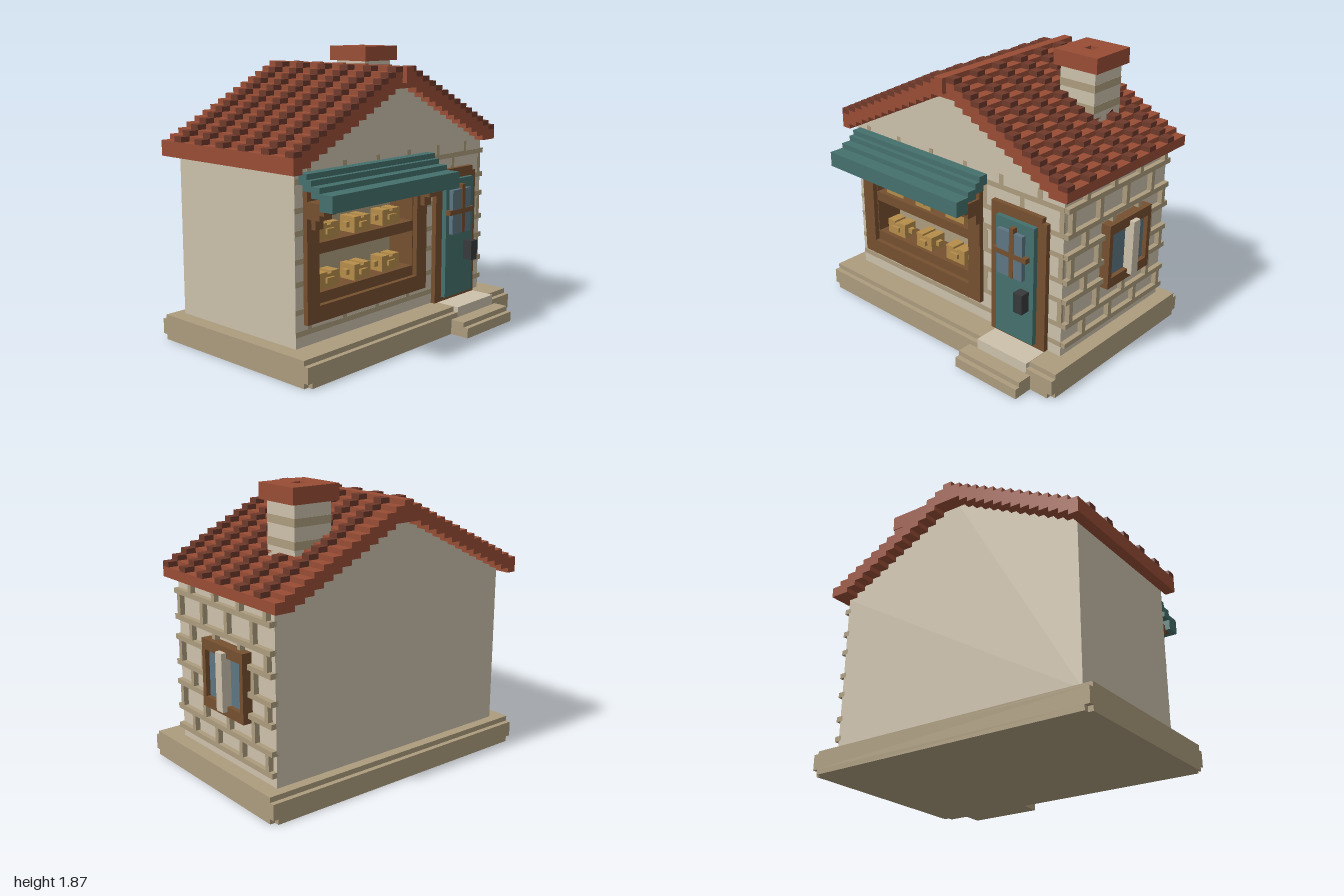
import * as THREE from 'three';
import { mergeGeometries } from 'three/addons/utils/BufferGeometryUtils.js';

const C = {
  plaster: 0xcdc1ab, mortar: 0xac9c7e, wood: 0x75502f, tile: 0x984d35, darkTile: 0x6f3a2b,
  teal: 0x44706d, glass: 0x5d7683, bread: 0xb58d4a, iron: 0x37393b,
};

// All sizes are in blocks of 1/30 unit
export function createModel() {
  const house = new THREE.Group();
  house.name = 'bakeryHouse';

  const add = (name, color, geometry) => {
    const mesh = new THREE.Mesh(geometry, new THREE.MeshStandardMaterial({ color }));
    mesh.name = name;
    house.add(mesh);
    return mesh;
  };
  // One part made of blocks, each given as [x0, x1, y0, y1, z0, z1]
  const blocks = (name, color, list) => add(name, color, mergeGeometries(list.map(([a, b, c, d, e, f]) =>
    new THREE.BoxGeometry(b - a, d - c, f - e).translate((a + b) / 2, (c + d) / 2, (e + f) / 2))));

  // Plinth and steps
  blocks('plinth', C.mortar, [
    [-30, 30, 0, 1, -21, 17], [-29, 29, 0, 1, -22, 18],
    [-30, 30, 1, 4, -22, 18], [-30, 30, 4, 5, -21, 17],
  ]);
  blocks('lowerStep', C.mortar, [[10, 25, 0, 2, 18, 22], [10, 25, 2, 3, 18, 21]]);
  blocks('doorStep', C.plaster, [[12, 24, 3, 5.05, 13, 18.05]]);

  // Walls with gables, the front layer open for the shop window
  const wall = (name, z0, z1, open) => {
    const shape = new THREE.Shape([[-27, 5], [27, 5], [27, 37], [0, 50.5], [-27, 37]]
      .map(([x, y]) => new THREE.Vector2(x, y)));
    if (open) {
      shape.holes.push(new THREE.Path([[-22, 12], [-22, 31], [5, 31], [5, 12]]
        .map(([x, y]) => new THREE.Vector2(x, y))));
    }
    const geometry = new THREE.ExtrudeGeometry(shape, { depth: z1 - z0, bevelEnabled: false });
    add(name, C.plaster, geometry.translate(0, 0, z0));
  };
  wall('walls', -19, 6, false);
  wall('frontWall', 6, 12, true);

  // Mortar: raised on the left wall, flush on the front
  const courses = [7, 11, 16, 20, 25, 29, 34];
  const sideMortar = [], frontMortar = [];
  courses.forEach((y, i) => {
    const top = i < 6 ? courses[i + 1] : 37;
    const even = i % 2 === 0;
    sideMortar.push([26.5, 28, y, y + 1, -19, 12]);
    for (let z = even ? -18 : -14; z < 12; z += 8) sideMortar.push([26.5, 28, y + 1, top, z, z + 1]);
    const spans = y > 9 && y < 32 ? [[-27, -25], [8, 11], [24, 27]] : [[-27, 27]];
    for (const [a, b] of spans) frontMortar.push([a, b, y, y + 1, 11.5, 12.05]);
    for (let x = even ? -24 : -19; x < 27; x += 9) {
      const inOpening = x > -23 && x < 5 && top > 12 && y < 30;
      if (!inOpening) frontMortar.push([x, x + 1, y + 1, top, 11.5, 12.05]);
    }
  });
  blocks('leftWallMortar', C.mortar, sideMortar);
  blocks('frontWallMortar', C.mortar, frontMortar);

  // Shop window
  blocks('shopWindowFrame', C.wood, [
    [-25, -22, 9, 33, 11.5, 13], [5, 8, 9, 33, 11.5, 13],
    [-22, 5, 9, 12, 11.5, 13], [-22, 5, 31, 33, 11.5, 13],
    [-22, -21.8, 12, 31, 6, 12], [4.8, 5, 12, 31, 6, 12],
  ]);
  blocks('shopWindowBack', C.mortar, [[-22, 5, 12, 31, 5.8, 6.2]]);
  blocks('shelves', C.wood, [[-22, 5, 12, 14, 6, 12], [-22, 5, 21, 23, 6, 12]]);

  // Loaves, the middle one of each row turned sideways
  for (const y of [14, 23]) {
    [-17.5, -9, -0.5].forEach((x, i) => {
      const loaf = blocks('loaf', C.bread, [
        [-2.5, 2.5, 0, 2, -1.5, 1.5], [-3.5, 3.5, 1, 2, -0.5, 0.5],
        [-2.5, -0.5, 2, 3, -1.5, 1.5], [0.5, 2.5, 2, 3, -1.5, 1.5],
        [-0.5, 0.5, 2, 2.6, -1.5, 1.5], [-1, 1, 1, 2, -2, 2],
      ]);
      loaf.position.set(x, y, 9.5);
      if (i === 1) loaf.scale.set(0.86, 1, 1.2);
    });
  }

  // Awning and its brackets
  blocks('awning', C.teal, [
    [-26, 9, 35, 36, 12, 14], [-26, 9, 34, 35, 12, 15],
    [-26, 9, 33, 34, 13, 17], [-26, 9, 32, 33, 15, 20], [-26, 9, 30, 32, 17, 20],
  ]);
  for (const x of [-25, 5]) {
    blocks('awningBracket', C.wood, [
      [x, x + 3, 29, 31, 13, 17], [x, x + 3, 30, 31, 17, 19],
      [x, x + 3, 28, 29, 13, 16], [x + 1, x + 3, 26, 28, 13, 14],
    ]);
  }

  // Door
  blocks('doorFrame', C.wood, [
    [11, 13, 5, 32, 11.5, 13], [22, 24, 5, 31, 11.5, 13],
    [13, 23, 30, 32, 11.5, 13], [13, 22, 5, 6, 11.5, 13],
  ]);
  blocks('door', C.teal, [[13, 22, 6, 30, 12, 14]]);
  blocks('doorGlass', C.glass, [[14, 20, 19, 28, 14, 14.9]]);
  blocks('doorGlassBars', C.wood, [[17, 18, 19, 29, 14, 15], [13, 21, 23, 24, 14, 15]]);
  blocks('doorHandle', C.iron, [[19, 21, 13, 17, 14, 16]]);

  // Left side window
  blocks('sideWindowFrame', C.wood, [
    [27, 29, 15, 17, -12, 1], [27, 29, 26, 28, -12, 1],
    [27, 29, 17, 26, -12, -11], [27, 29, 17, 26, 0, 1],
  ]);
  blocks('sideWindowGlass', C.glass, [[27, 28.1, 17, 26, -11, 0]]);
  blocks('sideWindowPost', C.plaster, [[28, 30, 16, 27, -7, -5]]);

  // Stepped roof with raised tile rows, mirrored about the ridge
  const slope = [], rows = [];
  for (let i = 0; i < 14; i++) {
    for (const side of [-1, 1]) {
      const a = side * (1 + 2 * i), b = side * (3 + 2 * i);
      const x0 = Math.min(a, b), x1 = Math.max(a, b);
      const eave = i === 13 && side === 1 ? 1 : 0;
      slope.push([x0, x1, 49 - i + eave, 52 - i, -22, 14]);
      for (let z = -18; z < 14; z += 6) rows.push([x0, x1, 52 - i, 53 - i, z, z + 2]);
    }
  }
  blocks('roofSlopes', C.tile, slope);
  blocks('raisedRoofTiles', C.darkTile, rows);
  blocks('ridge', C.tile, [[-1, 1, 49, 53, -22, 14], [-1, 1, 50, 53, 14, 15]]);

  // Chimney
  blocks('chimneyShaft', C.plaster, [[11, 19, 40, 53, -14, -6]]);
  blocks('chimneyBands', C.mortar, [45, 49].map((y) => [10.95, 19.05, y, y + 1.5, -14.05, -5.95]));
  blocks('chimneyCap', C.tile, [
    [10, 14, 53, 56, -15, -5], [16, 20, 53, 56, -15, -5],
    [14, 16, 53, 56, -15, -11], [14, 16, 53, 56, -9, -5],
  ]);
  blocks('chimneyFlue', C.mortar, [[14, 16, 52, 53.5, -11, -9]]);

  house.scale.setScalar(1 / 30);
  const model = new THREE.Group();
  model.add(house);
  return model;
}
